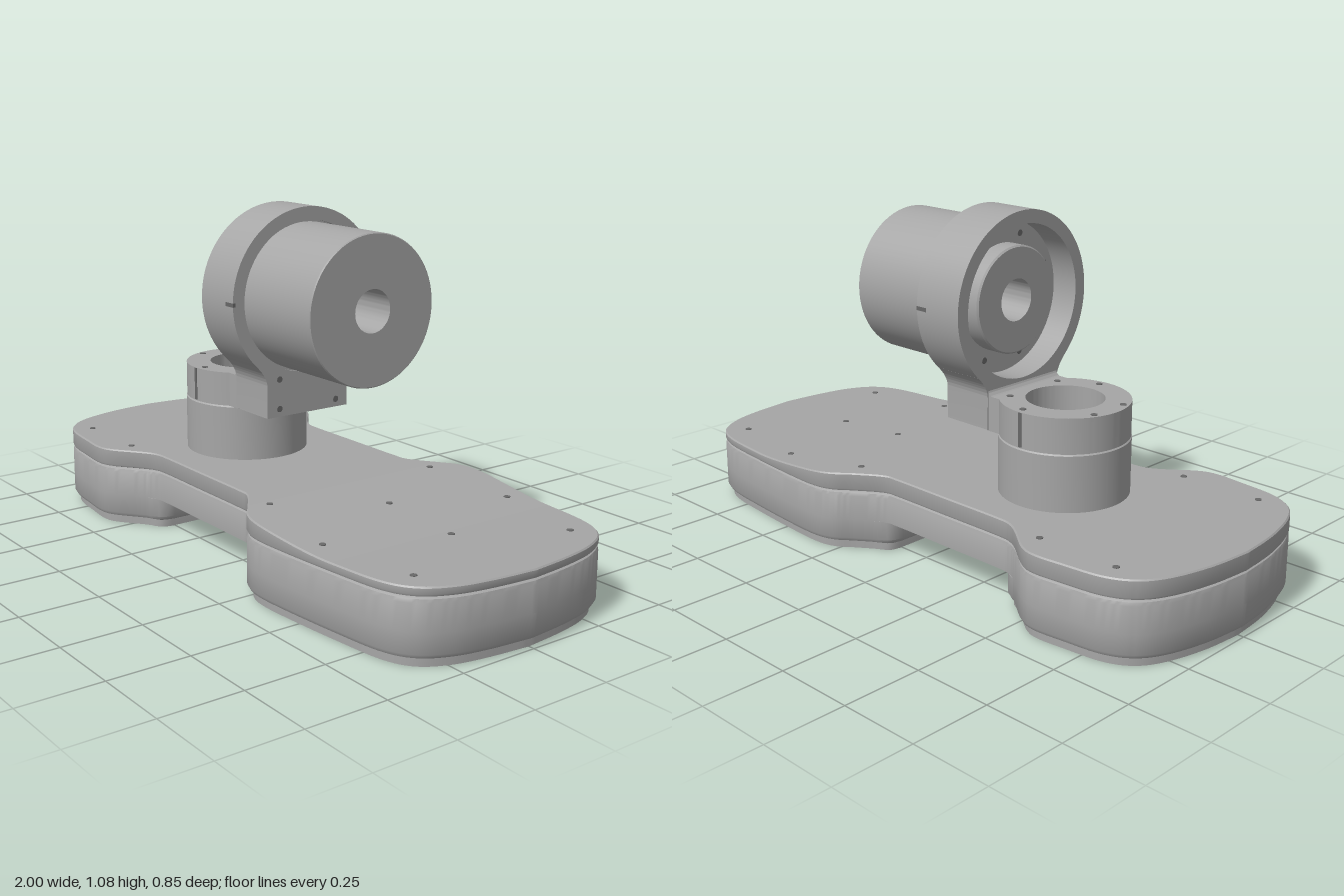
import * as THREE from 'three';
import { toCreasedNormals } from 'three/addons/utils/BufferGeometryUtils.js';

const grey = new THREE.MeshStandardMaterial({ color: 0xa6a6a6 });
grey.name = 'machined grey';
const dark = new THREE.MeshStandardMaterial({ color: 0x686868 });
dark.name = 'recess grey';

// Half of the base outline (x, z), from the left end to the right end
const outline = new THREE.SplineCurve([
  [-1, 0], [-0.985, 0.14], [-0.95, 0.27], [-0.9, 0.35], [-0.82, 0.395], [-0.7, 0.412], [-0.6, 0.42],
  [-0.54, 0.402], [-0.46, 0.342], [-0.41, 0.313], [-0.35, 0.306], [-0.14, 0.306], [0.06, 0.306],
  [0.12, 0.313], [0.2, 0.365], [0.26, 0.408], [0.33, 0.425], [0.45, 0.422], [0.65, 0.405],
  [0.82, 0.382], [0.91, 0.335], [0.96, 0.25], [0.985, 0.14], [1, 0],
].map(([x, z]) => new THREE.Vector2(x, z))).getPoints(176);

// Top of the lid dips gently towards the right end
const lidTop = (x) => 0.255 - 0.031 * THREE.MathUtils.smoothstep(x, 0.2, 0.65);

// Stack inset copies of a mirrored outline; each layer is [inset, height(x)]
function stack(half, layers) {
  const n = half.length, m = 2 * n - 2;
  const ring = Array.from({ length: m }, (_, i) =>
    i < n ? half[i] : new THREE.Vector2(half[m - i].x, -half[m - i].y));
  const normals = ring.map((p, i) => {
    const t = ring[(i + 1) % m].clone().sub(ring[(i + m - 1) % m]).normalize();
    return new THREE.Vector2(-t.y, t.x);
  });
  const pos = [], idx = [];
  for (const [inset, height] of layers) {
    ring.forEach((p, i) => {
      const x = p.x - normals[i].x * inset, z = p.y - normals[i].y * inset;
      pos.push(x, typeof height === 'function' ? height(x) : height, z);
    });
  }
  for (let k = 0; k < layers.length - 1; k++) {
    for (let i = 0; i < m; i++) {
      const a = k * m + i, b = k * m + (i + 1) % m;
      idx.push(a, b, b + m, a, b + m, a + m);
    }
  }
  const top = (layers.length - 1) * m;
  for (let i = 0; i < n - 1; i++) {
    const j = i + 1, mi = (m - i) % m, mj = m - j;
    if (j < n - 1) idx.push(top + i, top + j, top + mj, i, mj, j);
    if (i > 0) idx.push(top + i, top + mj, top + mi, i, mi, mj);
  }
  const g = new THREE.BufferGeometry();
  g.setAttribute('position', new THREE.Float32BufferAttribute(pos, 3));
  g.setIndex(idx);
  return toCreasedNormals(g, 0.6);
}

// One end of the base, closed by a straight inner wall with rounded corners
function podOutline(side, wall) {
  const corner = [[0.045, 0.325], [0.02, 0.31], [0.006, 0.29], [0, 0.26], [0, 0]]
    .map(([d, z]) => new THREE.Vector2(wall + side * d, z));
  const outer = outline.filter((p) => side * (p.x - wall) > 0.055);
  return side < 0 ? [...outer, ...corner] : [...corner.reverse(), ...outer];
}

// Solid turned around the y axis from (radius, height) points
function turned(points) {
  const g = new THREE.LatheGeometry(points.map(([r, y]) => new THREE.Vector2(r, y)), 72);
  return toCreasedNormals(g, 0.6);
}

function extruded(shape, depth) {
  const g = new THREE.ExtrudeGeometry(shape, { depth, bevelEnabled: false, curveSegments: 48 });
  return toCreasedNormals(g, 0.6);
}

export function createModel() {
  const model = new THREE.Group();
  const add = (name, geometry, material = grey, parent = model) => {
    const mesh = new THREE.Mesh(geometry, material);
    mesh.name = name;
    parent.add(mesh);
    return mesh;
  };
  // Small screw hole, drawn as a thin disc facing up or along x
  const hole = (name, x, y, z, alongX = false) => {
    const mesh = add(name, new THREE.CylinderGeometry(0.01, 0.01, 0.004, 16), dark);
    mesh.position.set(x, y, z);
    if (alongX) mesh.rotation.z = Math.PI / 2;
  };

  // Base: bridge body, two pods with feet, and the lid
  add('baseBody', stack(outline, [[0, 0.1], [0, 0.18], [0.004, 0.19], [0.014, 0.196]]));
  add('baseLid', stack(outline, [[0.014, 0.194], [0.003, 0.198], [0, 0.204],
    [0, (x) => lidTop(x) - 0.004], [0.004, lidTop]]));
  for (const [name, side, wall] of [['left', 1, 0.095], ['right', -1, -0.385]]) {
    const half = podOutline(side, wall);
    add(name + 'Pod', stack(half, [[0.018, 0.024], [0.007, 0.028], [0, 0.04], [0, 0.101]]));
    add(name + 'Foot', stack(half, [[0.018, 0], [0.018, 0.026]]));
  }

  // Lid screws
  const screws = [[0.4, 0], [0.67, 0]];
  for (const [x, z] of [[-0.81, 0.328], [-0.54, 0.328], [0.23, 0.308], [0.535, 0.347], [0.845, 0.289]]) {
    screws.push([x, z], [x, -z]);
  }
  for (const [x, z] of screws) hole('lidScrew', x, lidTop(x), z);
  for (const z of [-0.2, 0.2]) {
    const stud = add('undersideStud', new THREE.CylinderGeometry(0.015, 0.015, 0.008, 16));
    stud.position.set(-0.14, 0.099, z);
  }

  // Turret drum
  add('turretDrum', turned([[0, 0.25], [0.198, 0.25], [0.198, 0.427], [0.192, 0.432], [0, 0.432]]))
    .position.x = -0.34;

  // Clamp ring with a tab reaching the upright
  const clamp = new THREE.Shape();
  const a = Math.asin(0.15 / 0.196);
  clamp.absarc(-0.34, 0, 0.196, a, 2 * Math.PI - a, false);
  clamp.lineTo(-0.165, -0.15);
  clamp.lineTo(-0.165, 0.15);
  clamp.holes.push(new THREE.Path().absarc(-0.34, 0, 0.118, 0, Math.PI * 2, true));
  const ring = add('clampRing', extruded(clamp, 0.108));
  ring.rotation.x = -Math.PI / 2;
  ring.position.y = 0.432;
  for (const s of [-1, 1]) {
    for (const [x, z] of [[-0.505, 0.065], [-0.327, 0.17], [-0.215, 0.105]]) hole('clampScrew', x, 0.54, s * z);
    const slit = add('clampSlit', new THREE.BoxGeometry(0.012, 0.104, 0.009), dark);
    slit.position.set(-0.34, 0.487, s * 0.193);
  }

  // Upright housing: neck flaring into a ring
  const plate = new THREE.Shape();
  plate.moveTo(-0.153, 0.435);
  plate.lineTo(0.153, 0.435);
  plate.lineTo(0.153, 0.535);
  plate.quadraticCurveTo(0.153, 0.565, 0.19, 0.601);
  plate.absarc(0, 0.8, 0.275, -0.808, Math.PI + 0.808, false);
  plate.quadraticCurveTo(-0.153, 0.565, -0.153, 0.535);
  plate.holes.push(new THREE.Path().absarc(0, 0.8, 0.234, 0, Math.PI * 2, true));
  const housing = add('uprightHousing', extruded(plate, 0.17));
  housing.rotation.y = Math.PI / 2;
  housing.position.x = -0.17;

  // Fillet between clamp tab and upright
  const fillet = new THREE.Shape();
  fillet.moveTo(-0.168, 0.538);
  fillet.lineTo(-0.168, 0.565);
  fillet.quadraticCurveTo(-0.17, 0.54, -0.195, 0.538);
  add('neckFillet', extruded(fillet, 0.3)).position.z = -0.15;

  // Motor with rear boss and through bore
  const motor = add('motor', turned([[0.065, -0.14], [0.16, -0.14], [0.165, -0.135], [0.165, -0.08],
    [0.234, -0.08], [0.234, -0.012], [0.228, -0.012], [0.228, 0.312], [0.225, 0.315],
    [0.065, 0.315], [0.065, -0.14]]));
  motor.rotation.z = -Math.PI / 2;
  motor.position.y = 0.8;
  for (let i = 0; i < 8; i++) {
    const t = (i + 0.5) * Math.PI / 4;
    hole('motorScrew', -0.08, 0.8 + 0.2 * Math.sin(t), 0.2 * Math.cos(t), true);
  }

  // Neck screws and alignment notches
  for (const s of [-1, 1]) {
    for (const y of [0.46, 0.553]) hole('neckScrew', 0, y, s * 0.108, true);
    const notch = add('alignmentNotch', new THREE.BoxGeometry(0.04, 0.012, 0.009), dark);
    notch.position.set(-0.019, 0.8, s * 0.2715);
  }
  return model;
}
